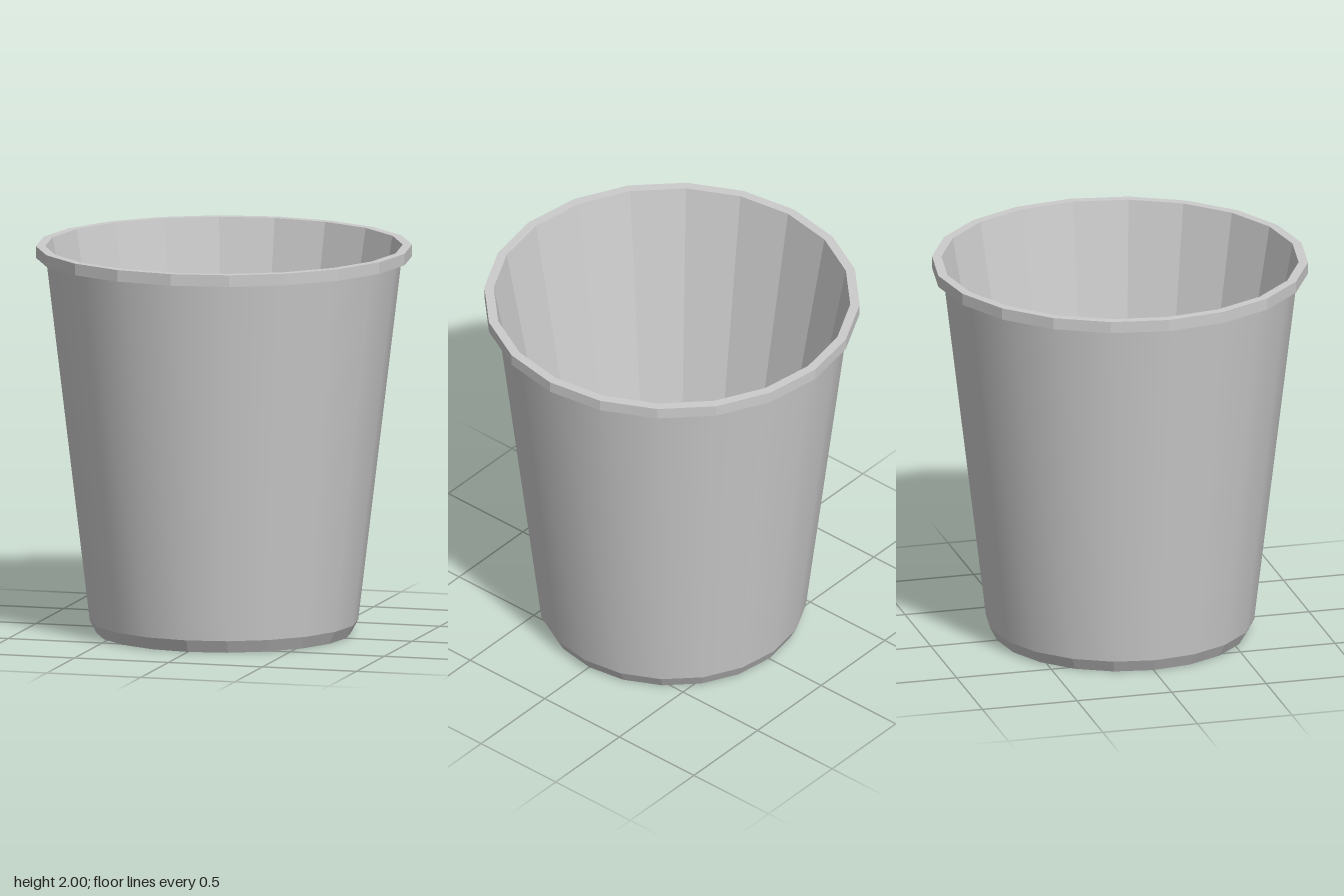
import * as THREE from 'three';

const SIDES = 20;

// Revolves a [radius, height] profile; going up faces outward, going down faces inward.
function ring(name, profile, flat) {
  const points = profile.map(([r, y]) => new THREE.Vector2(r, y));
  const material = new THREE.MeshStandardMaterial({ color: 0xcccccc, flatShading: flat });
  const mesh = new THREE.Mesh(new THREE.LatheGeometry(points, SIDES), material);
  mesh.name = name;
  return mesh;
}

export function createModel() {
  const bin = new THREE.Group();
  bin.name = 'bin';

  // Underside and faceted bevel at the foot
  bin.add(ring('base', [[0, 0], [0.65, 0], [0.685, 0.065]], true));

  // Smooth tapering outer wall
  bin.add(ring('outerWall', [[0.685, 0.065], [0.908, 1.94]], false));

  // Faceted lip: underside, outer band and top
  bin.add(ring('rim', [[0.908, 1.94], [0.96, 1.94], [0.96, 2], [0.912, 2]], true));

  // Faceted inner wall
  bin.add(ring('innerWall', [[0.912, 2], [0.565, 0.08]], true));

  // Inside floor
  bin.add(ring('floor', [[0.565, 0.08], [0, 0.08]], true));

  return bin;
}
